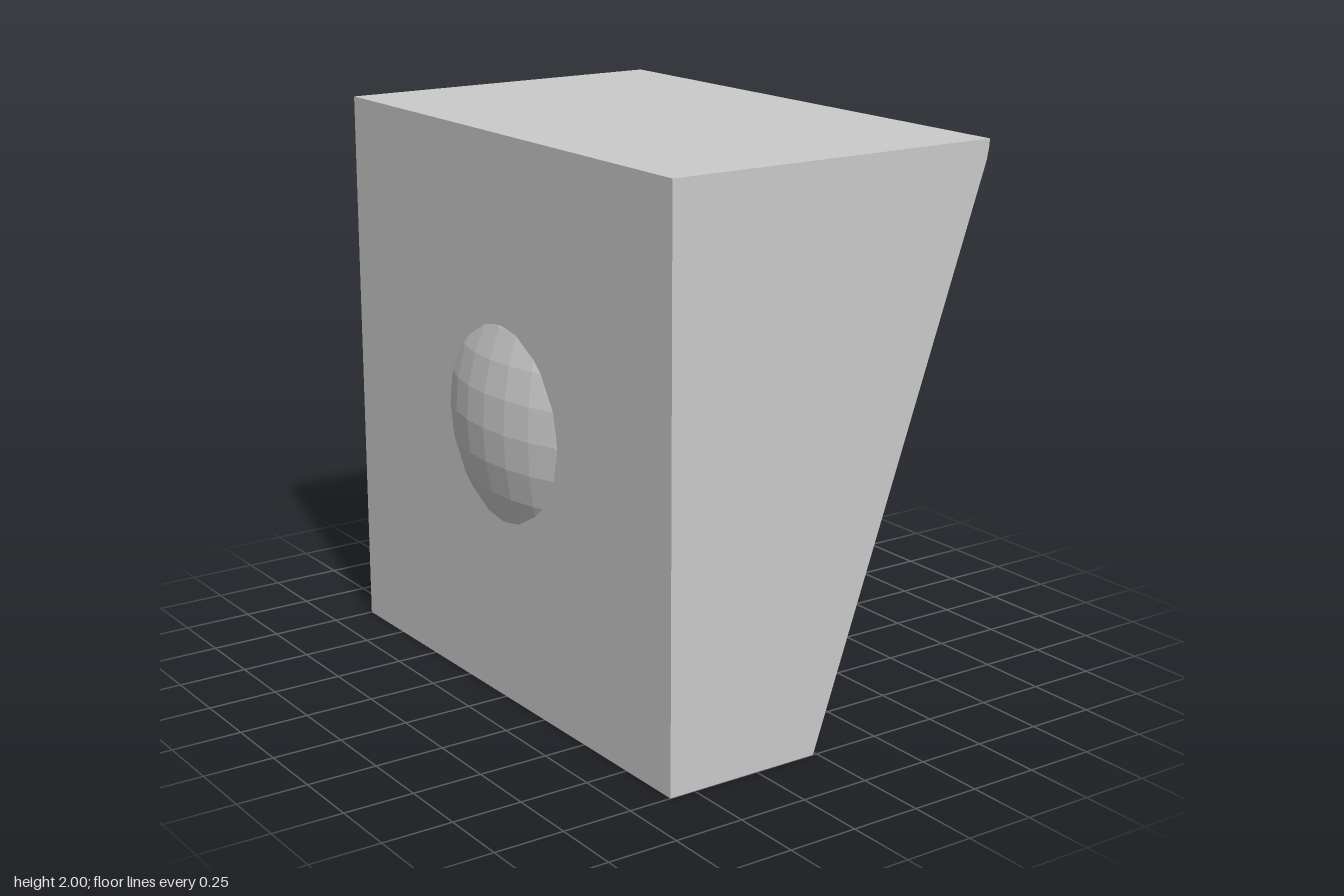
import * as THREE from 'three';

const material = new THREE.MeshStandardMaterial({ color: 0xcccccc, flatShading: true });

function addMesh(group, name, geometry, x = 0, y = 0, z = 0) {
  const mesh = new THREE.Mesh(geometry, material);
  mesh.name = name;
  mesh.position.set(x, y, z);
  group.add(mesh);
  return mesh;
}

export function createModel() {
  const group = new THREE.Group();
  const backX = -0.6, panelX = -0.02, hoodX = 0.665, wall = 0.02;

  // Solid housing behind the front panel
  const depth = panelX - backX;
  addMesh(group, 'housing', new THREE.BoxGeometry(depth, 2, 2), (backX + panelX) / 2, 1, 0);

  // Sloping side walls of the hood
  const side = new THREE.Shape([
    [panelX, 0], [0.655, 1.93], [hoodX, 1.98], [hoodX, 2], [panelX, 2],
  ].map(([x, y]) => new THREE.Vector2(x, y)));
  const sideGeometry = new THREE.ExtrudeGeometry(side, { depth: wall, bevelEnabled: false });
  addMesh(group, 'leftHoodWall', sideGeometry, 0, 0, -1);
  addMesh(group, 'rightHoodWall', sideGeometry, 0, 0, 1 - wall);

  // Hood roof
  addMesh(group, 'hoodRoof', new THREE.BoxGeometry(hoodX - panelX, wall, 2 - 2 * wall),
    (hoodX + panelX) / 2, 2 - wall / 2, 0);

  // Raised face plate with faceted round corners
  const h = 0.873, r = 0.11;
  const plate = new THREE.Shape();
  for (let corner = 0; corner < 4; corner++) {
    const a0 = corner * Math.PI / 2;
    const cx = (corner === 0 || corner === 3 ? 1 : -1) * (h - r);
    const cy = (corner < 2 ? 1 : -1) * (h - r);
    for (let i = 0; i <= 3; i++) {
      const a = a0 + i * Math.PI / 6;
      const x = cx + r * Math.cos(a), y = cy + r * Math.sin(a);
      if (corner + i === 0) plate.moveTo(x, y);
      else plate.lineTo(x, y);
    }
  }
  const plateGeometry = new THREE.ExtrudeGeometry(plate, { depth: 0.085, bevelEnabled: false });
  plateGeometry.rotateY(Math.PI / 2);
  addMesh(group, 'facePlate', plateGeometry, -0.04, 1, 0);

  // Flattened lens, bulging through both the plate and the back
  const lens = new THREE.SphereGeometry(0.615, 32, 16);
  lens.scale(0.424 / 0.615, 1, 1);
  addMesh(group, 'lens', lens, -0.251, 1, 0);

  // Centre the depth of the whole on x = 0
  const box = new THREE.Box3().setFromObject(group);
  const shift = (box.min.x + box.max.x) / 2;
  group.children.forEach((mesh) => { mesh.position.x -= shift; });
  return group;
}
